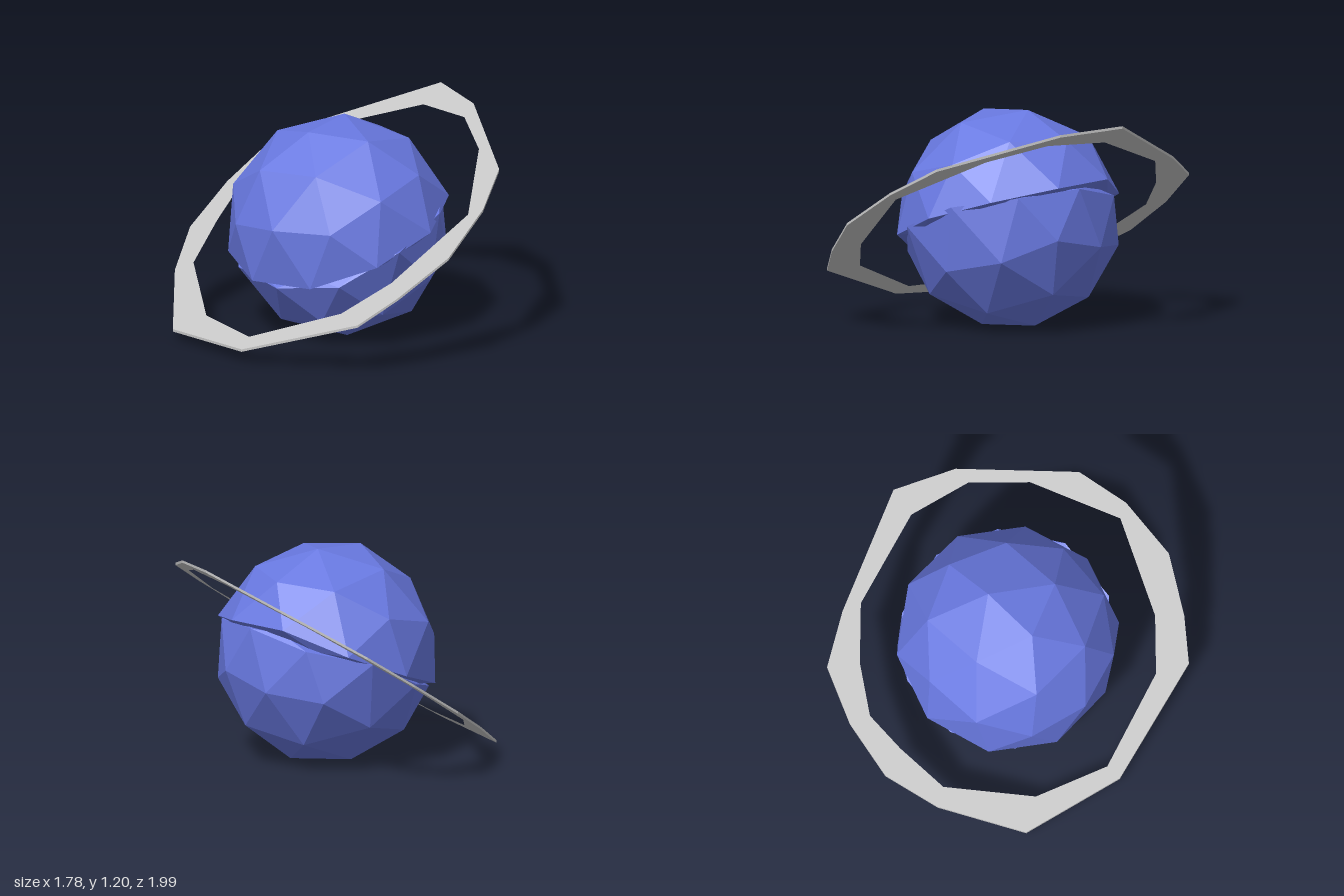
import * as THREE from 'three';

const planetBlue = new THREE.MeshStandardMaterial({ color: 0x6878e0, flatShading: true });
planetBlue.name = 'planetBlue';
const ringGrey = new THREE.MeshStandardMaterial({ color: 0xc6c6c6, flatShading: true });
ringGrey.name = 'ringGrey';

// Repeatable wobble in -1..1 from a position, equal for shared corners
function wobble(v, seed) {
  const q = (n) => Math.round(n * 100);
  const s = Math.sin(q(v.x) * 12.99 + q(v.y) * 78.23 + q(v.z) * 37.72 + seed) * 437.58;
  return (s - Math.floor(s)) * 2 - 1;
}

// Faceted half shell: a low-poly ball closed off with a rough rim
function createShell(name, side, radius, rim, yaw, seed) {
  const geo = new THREE.IcosahedronGeometry(radius, 1);
  geo.rotateZ(Math.atan(2 / (1 + Math.sqrt(5)))); // corner up, ten corners on the equator
  geo.rotateY(yaw);
  const pos = geo.attributes.position;
  const v = new THREE.Vector3();
  for (let i = 0; i < pos.count; i++) {
    v.fromBufferAttribute(pos, i);
    const w = wobble(v, seed);
    const h = v.y * side;
    if (Math.abs(h) < 0.05) {
      v.x *= rim + w * 0.02;
      v.z *= rim + w * 0.02;
      v.y = w * 0.05;
    } else if (h < 0) {
      v.y = -side * 0.02; // hidden inside the other shell
    } else {
      v.multiplyScalar(1 + w * 0.012);
    }
    pos.setXYZ(i, v.x, v.y, v.z);
  }
  geo.computeVertexNormals();
  const mesh = new THREE.Mesh(geo, planetBlue);
  mesh.name = name;
  return mesh;
}

// Uneven flat ring, drawn in plan and sheared onto its tilted plane
function createRing() {
  const outer = [[-0.21, -1], [0.07, -0.92], [0.69, -0.65], [0.83, -0.31], [0.89, 0.37],
    [0.77, 0.63], [0.55, 0.87], [0.26, 0.96], [0.03, 0.99], [-0.57, 0.62],
    [-0.89, 0.11], [-0.82, -0.38], [-0.7, -0.67], [-0.47, -0.87]];
  const inner = [[-0.17, -0.82], [0.12, -0.82], [0.58, -0.55], [0.77, -0.24], [0.81, 0.1],
    [0.69, 0.6], [0.24, 0.8], [-0.04, 0.81], [-0.52, 0.55], [-0.71, 0.16],
    [-0.72, -0.35], [-0.56, -0.59], [-0.42, -0.76]];
  const toPoints = (list) => list.map(([x, z]) => new THREE.Vector2(x, -z));
  const shape = new THREE.Shape(toPoints(outer));
  shape.holes.push(new THREE.Path(toPoints(inner)));
  const geo = new THREE.ExtrudeGeometry(shape, { depth: 0.014, bevelEnabled: false });
  geo.rotateX(-Math.PI / 2);
  const pos = geo.attributes.position;
  for (let i = 0; i < pos.count; i++) {
    pos.setY(i, pos.getY(i) + 0.613 + 0.57 * pos.getX(i) - 0.32 * pos.getZ(i));
  }
  geo.computeVertexNormals();
  const mesh = new THREE.Mesh(geo, ringGrey);
  mesh.name = 'ring';
  return mesh;
}

export function createModel() {
  const model = new THREE.Group();
  model.name = 'ringedPlanet';

  // Two shells meeting along a tilted crack
  const planet = new THREE.Group();
  planet.name = 'planet';
  planet.add(createShell('upperShell', 1, 0.622, 1.01, 0.2, 1));
  planet.add(createShell('lowerShell', -1, 0.618, 0.985, 0.45, 5));
  const seamNormal = new THREE.Vector3(-0.33, 1, 0.25).normalize();
  planet.quaternion.setFromUnitVectors(new THREE.Vector3(0, 1, 0), seamNormal);
  planet.position.set(0.05, 0.617, -0.015);
  model.add(planet);

  model.add(createRing());
  return model;
}
